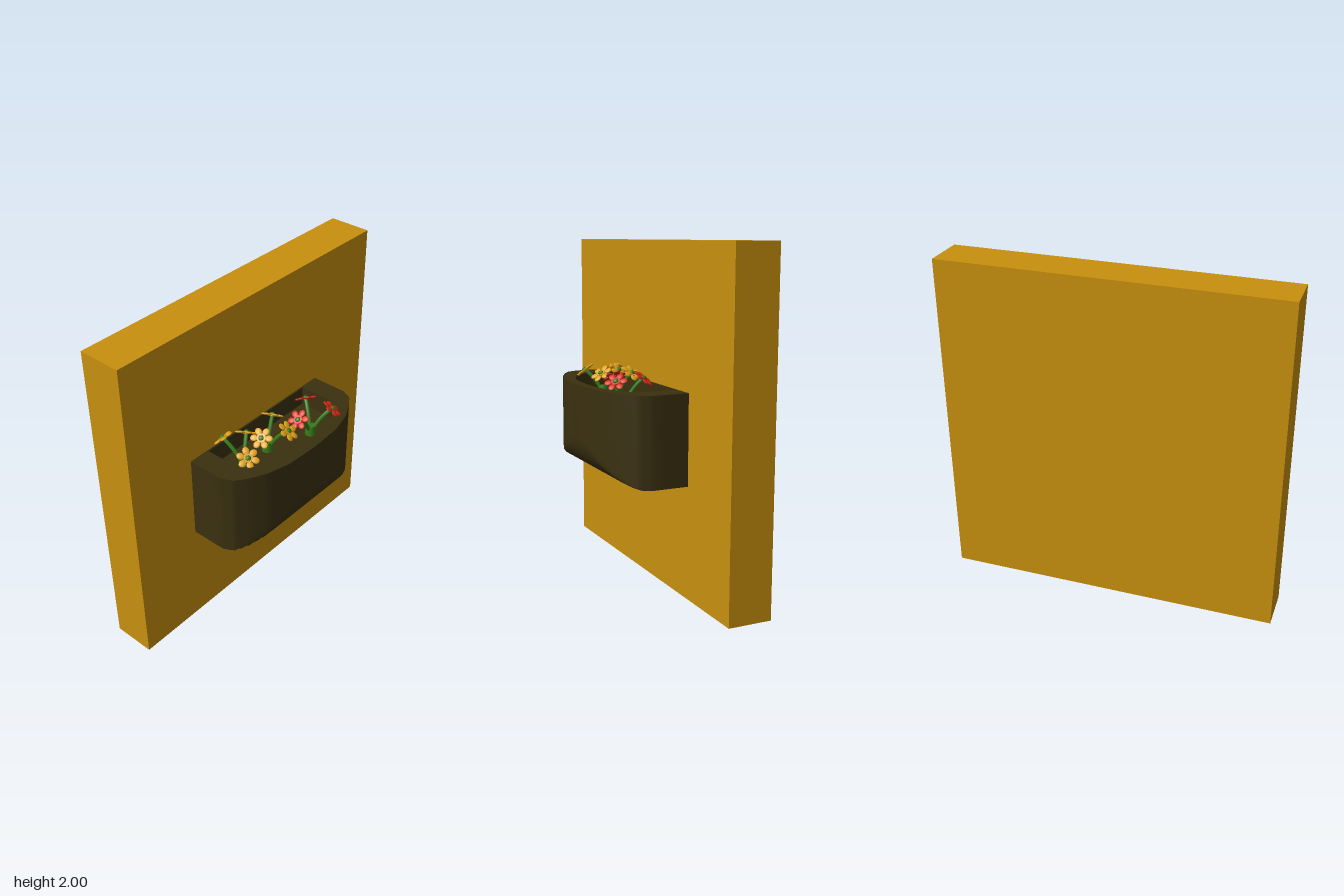
import * as THREE from 'three';
import { toCreasedNormals, mergeGeometries } from 'three/addons/utils/BufferGeometryUtils.js';

const paint = (color, extra = {}) => {
  const m = new THREE.MeshStandardMaterial(extra);
  m.color.set(color);
  return m;
};
const WALL = paint(0xc8900e);
const POT = paint(0x3a3010);
const GREEN = paint(0x387a18);
const YELLOW = paint(0xe2a31a);
const RED = paint(0xd42a14);

const BACK = -0.09, RIM = 1.18, BASE = 0.655, SOIL = 1.06, MID = -0.012;

function add(parent, name, geometry, material) {
  const mesh = new THREE.Mesh(geometry, material);
  mesh.name = name;
  parent.add(mesh);
  return mesh;
}

// Bowed plan outline of the planter, left to right around the front
function planOutline() {
  const half = [[0.547, BACK], [0.547, 0.13], [0.518, 0.2], [0.448, 0.25], [0.348, 0.3], [0.21, 0.335]];
  const corners = [
    ...half.map(([x, z]) => [-x, z]), [0, 0.345],
    ...half.slice().reverse(),
  ];
  const points = [];
  corners.slice(0, -1).forEach(([x, z], i) => {
    const [nx, nz] = corners[i + 1];
    for (let k = 0; k < 4; k++) {
      points.push([MID + x + (nx - x) * k / 4, z + (nz - z) * k / 4]);
    }
  });
  points.push([MID + 0.547, BACK]);
  return points;
}

// Skin through rows of equally many [x, y, z] points
function loft(rows) {
  const n = rows[0].length, index = [];
  for (let r = 0; r < rows.length - 1; r++) {
    for (let i = 0; i < n - 1; i++) {
      const a = r * n + i, c = a + n;
      index.push(a, a + 1, c, a + 1, c + 1, c);
    }
  }
  const g = new THREE.BufferGeometry();
  g.setAttribute('position', new THREE.Float32BufferAttribute(rows.flat(2), 3));
  g.setIndex(index);
  return toCreasedNormals(g, 0.7);
}

// Horizontal cap facing up or down
function cap(outline, y, up, hole) {
  const s = up ? -1 : 1;
  const toVectors = (pts) => pts.map(([x, z]) => new THREE.Vector2(x, s * z));
  const shape = new THREE.Shape(toVectors(outline));
  if (hole) shape.holes.push(new THREE.Path(toVectors(hole)));
  return new THREE.ShapeGeometry(shape).rotateX(s * Math.PI / 2).translate(0, y, 0);
}

function createPlanter() {
  const planter = new THREE.Group();
  planter.name = 'planter';
  const outer = planOutline();
  const inner = outer.map(([x, z]) => [MID + (x - MID) * 0.76, (z - BACK) * 0.85 - 0.08]);

  // Belly: the front curves back towards the base
  const rows = [];
  const steps = 12;
  const clampRow = (y, limit) => outer.map(([x, z]) => [x, y, Math.min(z, limit)]);
  for (let k = steps; k >= 0; k--) {
    const t = (k / steps) * Math.PI / 2;
    rows.push(clampRow(0.87 - 0.215 * Math.sin(t), 0.15 + 0.195 * Math.cos(t)));
  }
  rows.push(clampRow(RIM, 1));
  add(planter, 'planterShell', loft(rows), POT);
  add(planter, 'planterBase', cap(outer.map(([x, z]) => [x, Math.min(z, 0.15)]), BASE, false), POT);
  add(planter, 'planterRim', cap(outer, RIM, true, inner), POT);

  // Recess and soil
  const ring = [...inner, inner[0]];
  add(planter, 'recessWall', loft([RIM, SOIL].map((y) => ring.map(([x, z]) => [x, y, z]))), POT);
  add(planter, 'soil', cap(inner, SOIL, true), POT);
  return planter;
}

// Six round petals about a raised disc, facing +y
function petalGeometry() {
  const parts = [new THREE.CylinderGeometry(0.027, 0.024, 0.014, 12)];
  for (let i = 0; i < 6; i++) {
    parts.push(new THREE.SphereGeometry(0.024, 10, 6)
      .scale(1, 0.3, 0.85).translate(0.043, 0, 0).rotateY(i * Math.PI / 3));
  }
  return mergeGeometries(parts);
}

// A tuft carries three flowers that lean outwards from its root
function createTuft([rx, rz], heads, petalMaterial, petals) {
  const tuft = new THREE.Group();
  tuft.name = 'flowerTuft';
  const root = new THREE.Vector3(rx, SOIL, rz);
  add(tuft, 'tuftBase', new THREE.CylinderGeometry(0.028, 0.036, 0.06, 7), GREEN)
    .position.set(rx, SOIL + 0.03, rz);

  for (const [x, y, z] of heads) {
    const head = new THREE.Vector3(x, y, z);
    const out = new THREE.Vector3(x - rx, 0, z - rz).normalize();
    const facing = out.clone().multiplyScalar(0.62).add(new THREE.Vector3(0, 0.78, 0)).normalize();

    const bend = root.clone().lerp(head, 0.5).add(new THREE.Vector3(0, 0.03, 0)).addScaledVector(out, -0.015);
    const path = new THREE.QuadraticBezierCurve3(root, bend, head);
    add(tuft, 'stem', new THREE.TubeGeometry(path, 8, 0.012, 7), GREEN);

    const flower = new THREE.Group();
    flower.name = 'flower';
    flower.position.copy(head);
    flower.quaternion.setFromUnitVectors(new THREE.Vector3(0, 1, 0), facing);
    add(flower, 'petals', petals, petalMaterial);
    add(flower, 'flowerCentre', new THREE.SphereGeometry(0.016, 10, 6).scale(1, 0.6, 1), GREEN)
      .position.y = 0.008;
    tuft.add(flower);
  }
  return tuft;
}

export function createModel() {
  const model = new THREE.Group();
  model.name = 'wallPlanter';

  add(model, 'wall', new THREE.BoxGeometry(2, 2, 0.26), WALL).position.set(0, 1, -0.22);
  model.add(createPlanter());

  const petals = petalGeometry();
  model.add(
    createTuft([-0.29, 0.06], [[-0.315, 1.21, -0.078], [-0.2, 1.22, 0], [-0.36, 1.21, 0.155]], YELLOW, petals),
    createTuft([-0.085, 0.06], [[-0.185, 1.22, 0.1], [0.015, 1.23, 0.01], [-0.045, 1.23, 0.18]], YELLOW, petals),
    createTuft([0.2, 0.15], [[0.08, 1.225, 0.15], [0.265, 1.235, 0.055], [0.29, 1.23, 0.235]], RED, petals),
  );
  return model;
}
